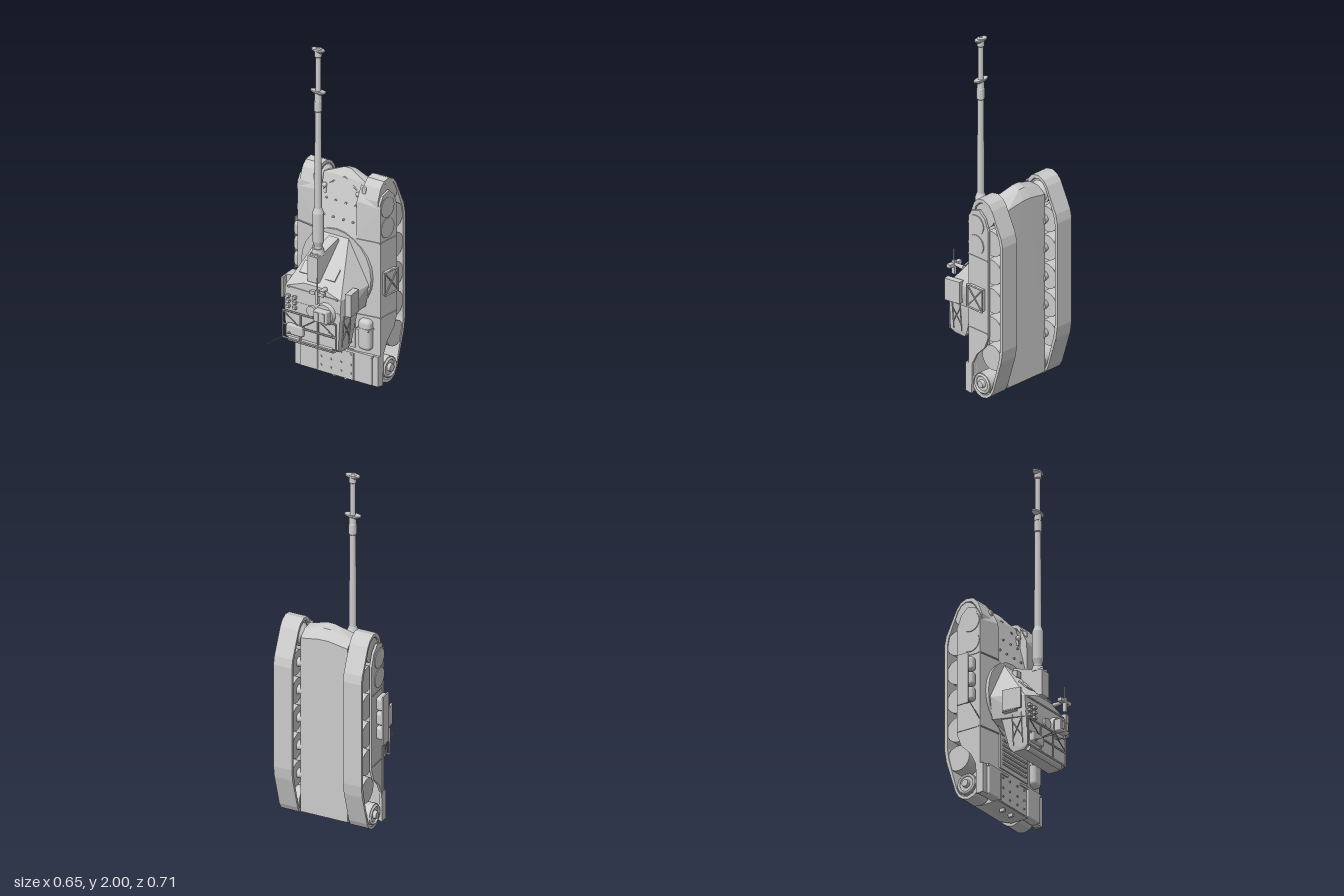
import * as THREE from 'three';
import { ConvexGeometry } from 'three/addons/geometries/ConvexGeometry.js';
import { RoundedBoxGeometry } from 'three/addons/geometries/RoundedBoxGeometry.js';

const mat = new THREE.MeshStandardMaterial({ color: 0xcccccc, side: THREE.DoubleSide });
const H = Math.PI / 2;

// A tracked gun vehicle stood on its tail: its nose points to +y, its roof faces +z.
export function createModel() {
  const root = new THREE.Group();
  root.name = 'trackedGunVehicle';
  const tank = new THREE.Group();
  tank.name = 'vehicle';
  tank.position.x = 0.011;
  root.add(tank);

  const add = (name, geo, x = 0, y = 0, z = 0, rx = 0, ry = 0, rz = 0) => {
    const m = new THREE.Mesh(geo, mat);
    m.name = name;
    m.position.set(x, y, z);
    m.rotation.set(rx, ry, rz);
    tank.add(m);
    return m;
  };
  const box = (name, w, h, d, ...p) => add(name, new THREE.BoxGeometry(w, h, d), ...p);
  const cyl = (name, r1, r2, len, ...p) => add(name, new THREE.CylinderGeometry(r1, r2, len, 24), ...p);
  // straight bar between two points
  const bar = (name, a, b, r = 0.003) => {
    const p = new THREE.Vector3(...a), q = new THREE.Vector3(...b);
    const m = add(name, new THREE.CylinderGeometry(r, r, p.distanceTo(q), 6));
    m.position.copy(p).add(q).multiplyScalar(0.5);
    m.quaternion.setFromUnitVectors(new THREE.Vector3(0, 1, 0), q.sub(p).normalize());
  };
  // convex body from corners given for +x, placed on the listed sides
  const hull = (name, pts, sides = [1, -1]) => add(name, new ConvexGeometry(
    pts.flatMap(([x, y, z]) => sides.map((s) => new THREE.Vector3(s * x, y, z)))));
  // side profile of [z, y] points, extruded across x around a centre
  const profile = (name, pts, width, x, hole) => {
    const v = (a) => a.map(([z, y]) => new THREE.Vector2(z, y));
    const s = new THREE.Shape(v(pts));
    if (hole) s.holes.push(new THREE.Path(v(hole)));
    const g = new THREE.ExtrudeGeometry(s, { depth: width, bevelEnabled: false });
    g.translate(0, 0, -width / 2).rotateY(-H);
    return add(name, g, x);
  };

  // Hull with a pointed, creased nose
  hull('hull', [
    [0.142, 0.05, -0.275], [0.142, 1.125, -0.275], [0.142, 1.16, -0.225], [0.142, 1.165, -0.165],
    [0.02, 1.212, -0.19], [0.02, 1.198, -0.238], [0.03, 1.145, -0.277],
    [0.142, 0.86, -0.09], [0.142, 0.02, -0.09], [0.142, 0.02, -0.2],
  ]);

  // Running gear, fenders and skirts
  const outer = [[-0.11, 0.12], [-0.11, 1.1], [-0.135, 1.17], [-0.165, 1.203], [-0.21, 1.212], [-0.25, 1.195],
    [-0.275, 1.165], [-0.345, 1.02], [-0.356, 0.97], [-0.356, 0.34], [-0.345, 0.27], [-0.285, 0.075],
    [-0.265, 0.04], [-0.235, 0.018], [-0.2, 0.01], [-0.16, 0.022], [-0.125, 0.06]];
  const inner = outer.map(([z, y]) => [-0.233 + (z + 0.233) * 0.85, 0.61 + (y - 0.61) * 0.968]);
  const skirt = [[-0.112, 0.02], [-0.112, 1.09], [-0.135, 1.13], [-0.19, 1.15], [-0.235, 1.11], [-0.262, 1.04],
    [-0.262, 0.4], [-0.235, 0.33], [-0.175, 0.27], [-0.14, 0.2], [-0.135, 0.02]];
  for (const s of [-1, 1]) {
    profile('track', outer, 0.111, s * 0.2105, inner);
    profile('skirt', skirt, 0.014, s * 0.275);
    // fender falling slightly towards its outer edge
    hull('fender', [
      [0.135, 0.19, -0.088], [0.135, 0.88, -0.088], [0.135, 1.08, -0.093], [0.135, 1.165, -0.135],
      [0.283, 0.19, -0.112], [0.283, 1.06, -0.112], [0.283, 1.115, -0.135], [0.283, 0.19, -0.135],
      [0.135, 0.19, -0.135],
    ], [s]);
    for (let i = 0; i < 5; i++) {
      const y = 0.275 + i * 0.1725;
      cyl('roadWheel', 0.074, 0.074, 0.096, s * 0.212, y, -0.27, 0, 0, H);
      cyl('wheelHub', 0.022, 0.03, 0.04, s * 0.155, y, -0.255, 0, 0, H);
    }
    cyl('idlerWheel', 0.07, 0.07, 0.1, s * 0.212, 1.12, -0.218, 0, 0, H);
    cyl('idlerHub', 0.035, 0.065, 0.03, s * 0.152, 1.12, -0.215, 0, 0, s * H);
    cyl('sprocket', 0.062, 0.062, 0.118, s * 0.212, 0.1, -0.207, 0, 0, H);
    add('sprocketRim', new THREE.TorusGeometry(0.05, 0.008, 6, 24), s * 0.273, 0.1, -0.207, 0, H, 0);
    cyl('sprocketHub', 0.02, 0.026, 0.03, s * 0.275, 0.1, -0.207, 0, 0, -s * H);

    // raised round pressings on the front skirt
    for (const y of [0.935, 1.055]) {
      add('skirtPressing', new THREE.CylinderGeometry(0.058, 0.058, 0.012, 24), s * 0.281, y, -0.172, 0, 0, H);
    }
    for (const y of [0.42, 0.86]) {
      box('skirtJoint', 0.01, 0.006, 0.14, s * 0.281, y, -0.187);
      box('fenderJoint', 0.14, 0.006, 0.01, s * 0.21, y, -0.099, 0, s * 0.16, 0);
    }

    // rear fender lockers
    add('rearLocker', new RoundedBoxGeometry(0.115, 0.175, 0.055, 2, 0.006), s * 0.185, 0.112, -0.105);
    box('lockerFlange', 0.19, 0.014, 0.02, s * 0.155, 0.193, -0.088);
    box('rearMudguard', 0.045, 0.175, 0.04, s * 0.26, 0.11, -0.111);
    box('towHook', 0.016, 0.03, 0.03, s * 0.04, 0.015, -0.13);

    // lamps and hull hooks
    add('headlamp', new THREE.SphereGeometry(0.015, 16, 10), s * 0.115, 1.1, -0.133);
    cyl('lampBracket', 0.006, 0.01, 0.04, s * 0.115, 1.075, -0.14);
    add('frontBracket', new RoundedBoxGeometry(0.022, 0.035, 0.03, 2, 0.005), s * 0.165, 1.14, -0.128);
    // stepped splash strip across the glacis
    for (let i = 0; i < 3; i++) {
      box('splashStrip', 0.036, 0.007, 0.012, s * (0.018 + i * 0.034), 1.155 - i * 0.02 - (i % 2) * 0.008,
        -0.17 + i * 0.007, 0.3, 0, s * (i % 2 ? 0.2 : -0.6));
    }
  }

  // Bolts on the rear deck and glacis
  const bolt = (x, y, z) => cyl('deckBolt', 0.006, 0.006, 0.012, x, y, z, H);
  for (const x of [-0.1, -0.035, 0.035, 0.1]) {
    for (const y of [0.06, 0.11, 0.17]) bolt(x, y, -0.087);
    bolt(x, 0.94, -0.106);
    bolt(x, 1.03, -0.13);
  }
  box('rearDeckPanel', 0.23, 0.18, 0.012, 0, 0.115, -0.092);
  box('engineDeck', 0.26, 0.2, 0.016, 0, 0.32, -0.09);
  for (let i = 0; i < 6; i++) box('engineLouvre', 0.22, 0.01, 0.014, 0, 0.25 + i * 0.028, -0.08);

  // Turret ring, wedge-shaped turret and rear bustle
  cyl('turretRing', 0.237, 0.24, 0.03, 0, 0.645, -0.101, H);
  hull('turret', [
    [0.085, 0.85, -0.088], [0.222, 0.61, -0.088], [0.2, 0.48, -0.088], [0.09, 0.45, -0.08],
    [0.06, 0.62, 0.122], [0.19, 0.575, 0.122], [0.19, 0.45, 0.128],
  ]);
  hull('turretBustle', [
    [0.19, 0.5, -0.04], [0.19, 0.5, 0.128], [0.178, 0.285, 0.13], [0.17, 0.265, 0.105], [0.17, 0.265, 0.03],
    [0.175, 0.3, 0.005],
  ]);
  for (const s of [-1, 1]) {
    box('frontArmourPlate', 0.072, 0.075, 0.008, s * 0.083, 0.685, 0.058, -0.8);
    bar('turretSideRail', [s * 0.196, 0.48, 0.1], [s * 0.182, 0.3, 0.1]);
    bar('turretSideRail', [s * 0.196, 0.48, 0.04], [s * 0.182, 0.3, 0.04]);
    bar('sideBrace', [s * 0.196, 0.44, 0.04], [s * 0.186, 0.34, 0.1]);
    bar('sideBrace', [s * 0.196, 0.44, 0.1], [s * 0.186, 0.34, 0.04]);
  }
  box('sightBox', 0.04, 0.04, 0.034, -0.074, 0.775, -0.015);
  // tilted stowage boxes on the turret flanks
  box('rightTurretBox', 0.085, 0.13, 0.082, -0.185, 0.555, 0.034, 0, 0.12, 0);
  box('rightTurretBoxLid', 0.012, 0.12, 0.11, -0.222, 0.555, 0.06, 0, 0.12, 0);
  box('leftTurretBox', 0.036, 0.13, 0.1, 0.22, 0.555, 0.062, 0, 0.2, 0);

  // Gun mantlet and barrel
  profile('mantlet', [[0.125, 0.64], [0.125, 0.79], [0.06, 0.805], [-0.066, 0.845], [-0.075, 0.65]], 0.066, 0);
  cyl('mantletCollar', 0.03, 0.038, 0.035, 0, 0.81, 0.076);
  for (const s of [-1, 1]) cyl('mantletBoss', 0.01, 0.01, 0.02, s * 0.016, 0.795, 0.112);
  const barrel = [[0, 0.76], [0.023, 0.76], [0.023, 0.84], [0.032, 0.87], [0.032, 1.035], [0.021, 1.065],
    [0.0175, 1.63], [0.022, 1.635], [0.022, 1.695], [0.0155, 1.705], [0.0155, 1.95], [0.021, 1.955], [0.021, 2],
    [0.011, 2], [0.011, 1.95], [0, 1.95]];
  const lathe = new THREE.LatheGeometry(barrel.map(([r, y]) => new THREE.Vector2(r, y)), 24).toNonIndexed();
  lathe.computeVertexNormals();
  add('barrel', lathe, 0, 0, 0.075);
  // flat, wide flares of the muzzle brake and the barrel collar
  for (const [y, w] of [[1.982, 0.043], [1.738, 0.05]]) {
    cyl('muzzleFlare', 1, 0.55, 0.014, 0, y, 0.075).scale.set(w, 1, 0.022);
    cyl('flareLip', 1, 1, 0.008, 0, y + 0.011, 0.075).scale.set(w, 1, 0.022);
  }
  cyl('collarSleeve', 0.019, 0.021, 0.04, 0, 1.72, 0.075);

  // Roof: hatches, sights and stowage
  cyl('commanderCupola', 0.058, 0.064, 0.025, 0.095, 0.48, 0.138, H);
  add('cupolaSight', new RoundedBoxGeometry(0.09, 0.07, 0.045, 2, 0.006), 0.095, 0.48, 0.163);
  for (const x of [0.075, 0.115]) box('sightWindow', 0.024, 0.045, 0.008, x, 0.48, 0.186);
  cyl('gunnerHatch', 0.03, 0.03, 0.016, 0, 0.475, 0.134, H);
  box('roofSeam', 0.34, 0.008, 0.008, 0, 0.575, 0.125);
  for (let i = 0; i < 6; i++) {
    add('roofPeriscope', new RoundedBoxGeometry(0.022, 0.018, 0.02, 1, 0.003),
      -0.16 + (i % 2) * 0.045, 0.465 + (i >> 1) * 0.03, 0.135);
  }
  // roof machine gun on its post
  cyl('machineGunPost', 0.008, 0.013, 0.075, 0.085, 0.62, 0.157, H);
  cyl('machineGunBarrel', 0.004, 0.004, 0.1, 0.085, 0.66, 0.195);
  box('machineGunBody', 0.016, 0.08, 0.022, 0.085, 0.6, 0.195);
  for (const s of [-1, 1]) box('ammunitionBox', 0.034, 0.02, 0.026, 0.085 + s * 0.03, 0.62, 0.192);
  // rear stowage rack
  for (const y of [0.28, 0.36, 0.44]) bar('rackRail', [-0.19, y, 0.142], [0.17, y, 0.142], 0.005);
  for (const x of [-0.19, -0.07, 0.05, 0.17]) bar('rackPost', [x, 0.28, 0.142], [x, 0.44, 0.142], 0.005);
  bar('rackBrace', [-0.19, 0.44, 0.145], [-0.07, 0.36, 0.145]);
  bar('rackBrace', [-0.07, 0.36, 0.145], [0.05, 0.44, 0.145]);
  bar('rackBrace', [0.05, 0.44, 0.145], [0.17, 0.36, 0.145]);
  add('stowedPack', new RoundedBoxGeometry(0.11, 0.06, 0.03, 2, 0.01), -0.105, 0.34, 0.14);
  cyl('stowedRoll', 0.018, 0.018, 0.3, -0.01, 0.275, 0.12, 0, 0, H);
  bar('antenna', [-0.136, 0.32, 0.12], [-0.136, 0.32, 0.355], 0.002);
  cyl('antennaBase', 0.007, 0.012, 0.03, -0.136, 0.32, 0.145, H);

  // Side stowage: canvas bag, cans on the right flank, braced frame on the left
  add('canvasBag', new RoundedBoxGeometry(0.08, 0.18, 0.06, 3, 0.025), 0.2, 0.315, -0.09);
  box('bagStrap', 0.084, 0.012, 0.064, 0.2, 0.35, -0.09);
  for (const y of [0.61, 0.7, 0.79]) {
    add('sideCan', new RoundedBoxGeometry(0.05, 0.084, 0.085, 3, 0.02), -0.305, y, -0.175);
  }
  box('canRack', 0.008, 0.3, 0.07, -0.331, 0.7, -0.19);
  bar('canRackStay', [-0.33, 0.56, -0.15], [-0.285, 0.46, -0.11]);
  box('sideBox', 0.022, 0.13, 0.11, 0.29, 0.62, -0.182);
  const c = [[0.553, -0.122], [0.687, -0.122], [0.687, -0.24], [0.553, -0.24]].map(([y, z]) => [0.306, y, z]);
  for (let i = 0; i < 4; i++) bar('frameRail', c[i], c[(i + 1) % 4], 0.005);
  bar('frameBrace', c[0], c[2], 0.004);
  bar('frameBrace', c[1], c[3], 0.004);

  return root;
}
